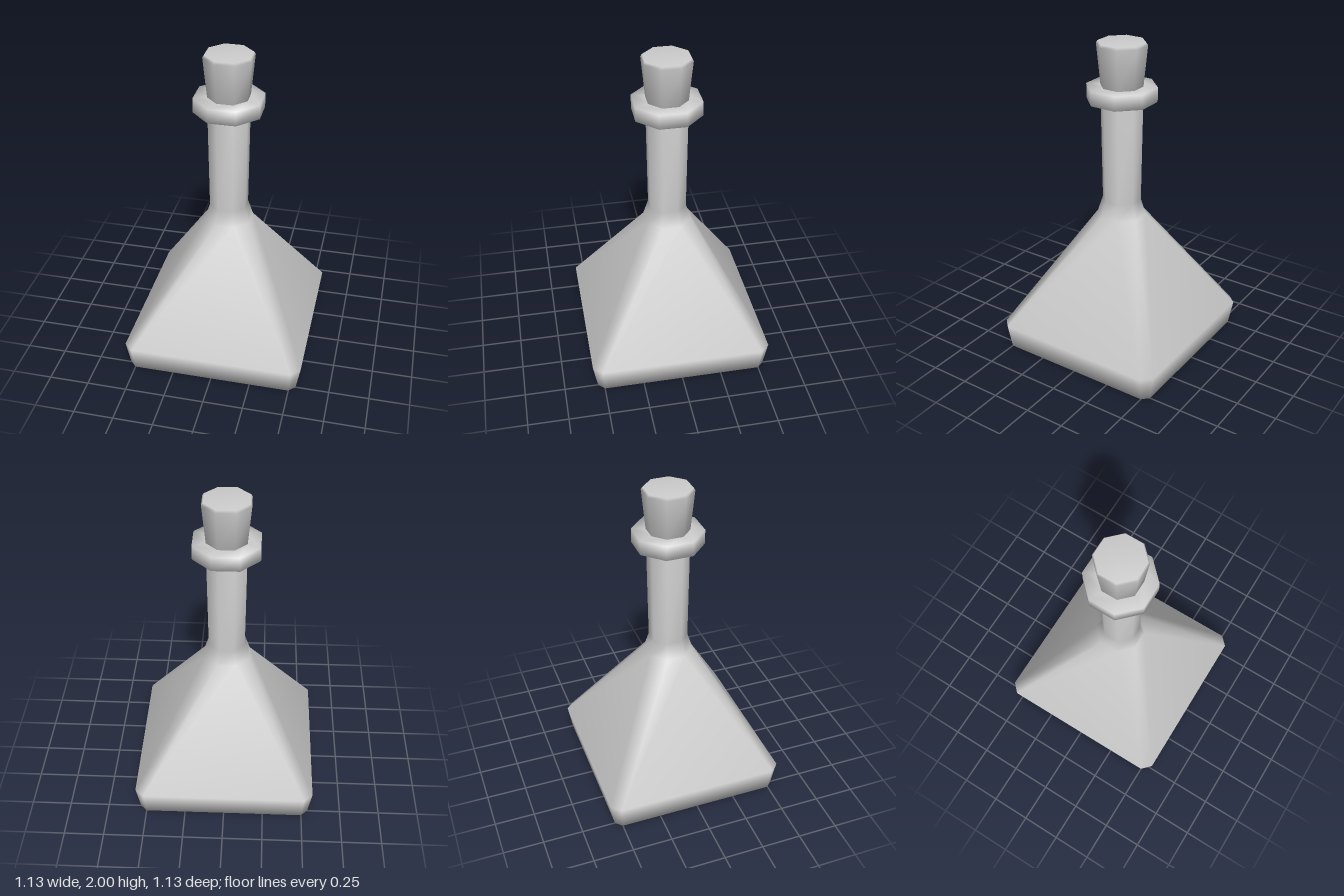
import * as THREE from 'three';

const material = new THREE.MeshStandardMaterial({ color: 0xcccccc });

// Square of half-width w with corners cut back by c, as 8 points [x, z]
function ring(w, c) {
  const a = w - c;
  return [[w, -a], [w, a], [a, w], [-a, w], [-w, a], [-w, -a], [-a, -w], [a, -w]];
}

// Smooth closed loft through sections [y, halfWidth, cornerCut], bottom to top
function loft(name, sections) {
  const positions = [];
  const index = [];
  for (const [y, w, c] of sections) {
    for (const [x, z] of ring(w, c)) positions.push(x, y, z);
  }
  const last = sections.length - 1;
  const bottom = sections.length * 8;
  const top = bottom + 1;
  positions.push(0, sections[0][0], 0, 0, sections[last][0], 0);
  for (let i = 0; i < 8; i++) {
    const j = (i + 1) % 8;
    for (let s = 0; s < last; s++) {
      const a = s * 8;
      const b = a + 8;
      index.push(a + i, b + i, a + j, a + j, b + i, b + j);
    }
    index.push(bottom, i, j, top, last * 8 + j, last * 8 + i);
  }
  const geometry = new THREE.BufferGeometry();
  geometry.setAttribute('position', new THREE.Float32BufferAttribute(positions, 3));
  geometry.setIndex(index);
  geometry.computeVertexNormals();
  const mesh = new THREE.Mesh(geometry, material);
  mesh.name = name;
  return mesh;
}

// Corner cut that makes the section a regular octagon
const octagon = (y, w) => [y, w, w * 0.586];

export function createModel() {
  const group = new THREE.Group();
  group.name = 'stopperedBottle';

  // Pyramid body flowing into the neck
  group.add(loft('bodyAndNeck', [
    [0, 0.54, 0.04],
    [0.16, 0.567, 0.056],
    octagon(0.9, 0.142),
    octagon(1.0, 0.112),
    octagon(1.63, 0.12),
  ]));

  // Lip around the mouth
  group.add(loft('collar', [
    octagon(1.62, 0.12),
    octagon(1.645, 0.2),
    octagon(1.735, 0.2),
    octagon(1.735, 0.118),
  ]));

  // Flared stopper with a small bevel on top
  group.add(loft('stopper', [
    octagon(1.72, 0.119),
    octagon(1.985, 0.143),
    octagon(2.0, 0.134),
  ]));

  return group;
}
